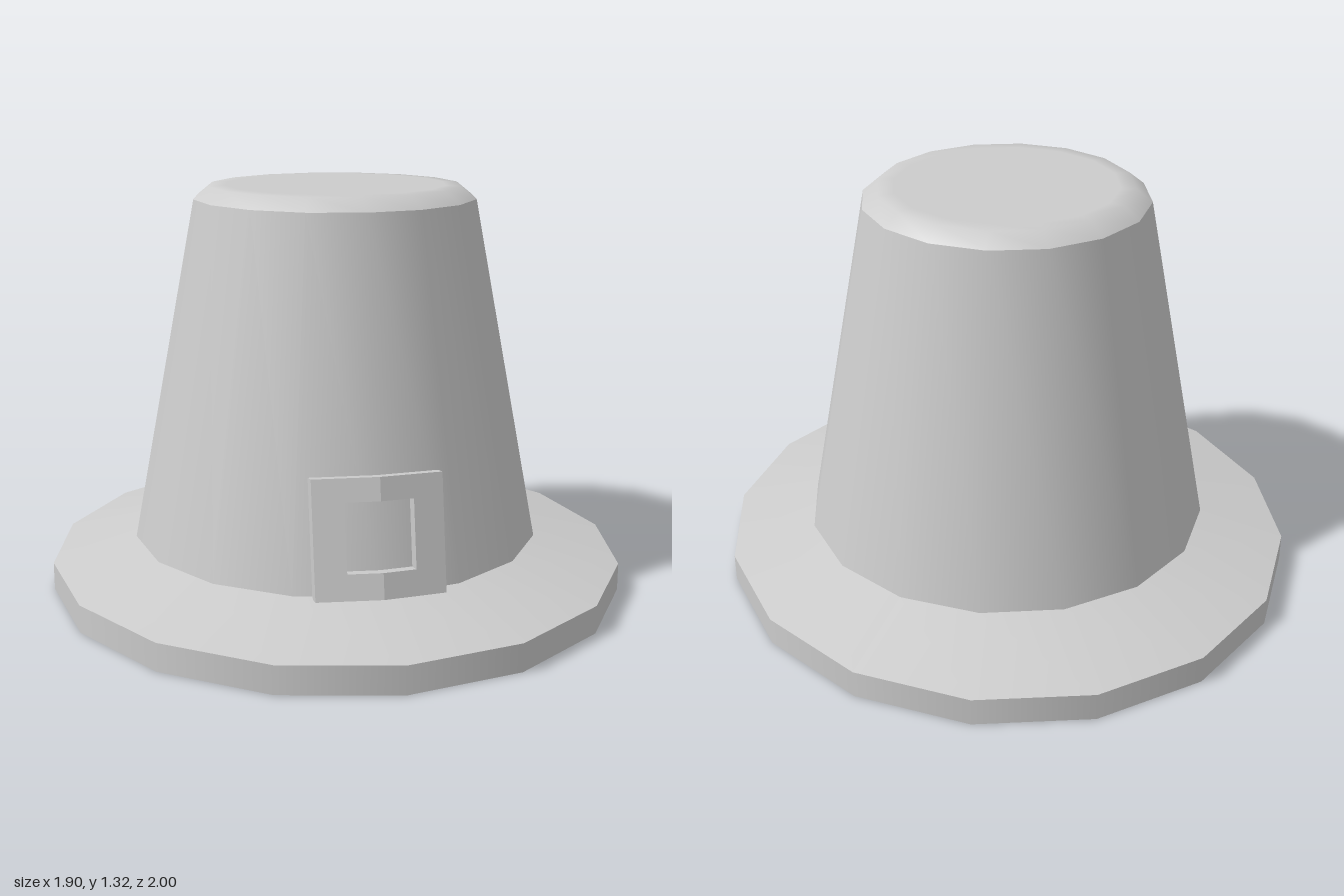
import * as THREE from 'three';

const SIDES = 16;

export function createModel() {
  const hat = new THREE.Group();
  hat.name = 'hat';
  const felt = new THREE.MeshStandardMaterial({ color: 0xcccccc });
  felt.name = 'grey felt';

  const add = (name, geometry, parent = hat) => {
    const mesh = new THREE.Mesh(geometry, felt);
    mesh.name = name;
    parent.add(mesh);
    return mesh;
  };

  // Revolved band; rings beyond the crown are narrowed sideways into an oval
  const band = (name, ...points) => {
    const g = new THREE.LatheGeometry(points.map(([r, y]) => new THREE.Vector2(r, y)), SIDES);
    const p = g.attributes.position;
    for (let i = 0; i < p.count; i++) {
      if (Math.hypot(p.getX(i), p.getZ(i)) > 0.9) p.setX(i, p.getX(i) * 0.95);
    }
    return add(name, g);
  };

  // Brim: underside, outer edge and sloping top
  band('brimUnderside', [0.675, 0], [1, 0]);
  band('brimEdge', [1, 0], [1, 0.09]);
  band('brimTop', [1, 0.09], [0.675, 0.165]);

  // Crown: tapered wall and softly bevelled top
  band('crownWall', [0.675, 0.165], [0.46, 1.28]);
  band('crownTop', [0.46, 1.28], [0.41, 1.32], [0.36, 1.322], [0, 1.322]);

  // Hollow for the head
  band('innerWall', [0.56, 0.7], [0.675, 0]);
  band('innerCeiling', [0, 0.7], [0.56, 0.7]);

  // Buckle: two mirrored C-shaped halves, bent around the crown
  const buckle = new THREE.Group();
  buckle.name = 'buckle';
  for (const side of [1, -1]) {
    const outline = [
      [0, 0], [0.2, 0], [0.2, 0.364], [0, 0.364],
      [0, 0.292], [0.105, 0.292], [0.105, 0.08], [0, 0.08],
    ].map(([x, y]) => new THREE.Vector2(side * x, y));
    const g = new THREE.ExtrudeGeometry(new THREE.Shape(outline), { depth: 0.05, bevelEnabled: false });
    const p = g.attributes.position;
    for (let i = 0; i < p.count; i++) p.setZ(i, p.getZ(i) - 0.19 * Math.abs(p.getX(i)));
    g.computeVertexNormals();
    add(side > 0 ? 'buckleLeft' : 'buckleRight', g, buckle);
  }
  buckle.position.set(0, 0.163, 0.676);
  buckle.rotation.x = -0.19;
  hat.add(buckle);

  return hat;
}
